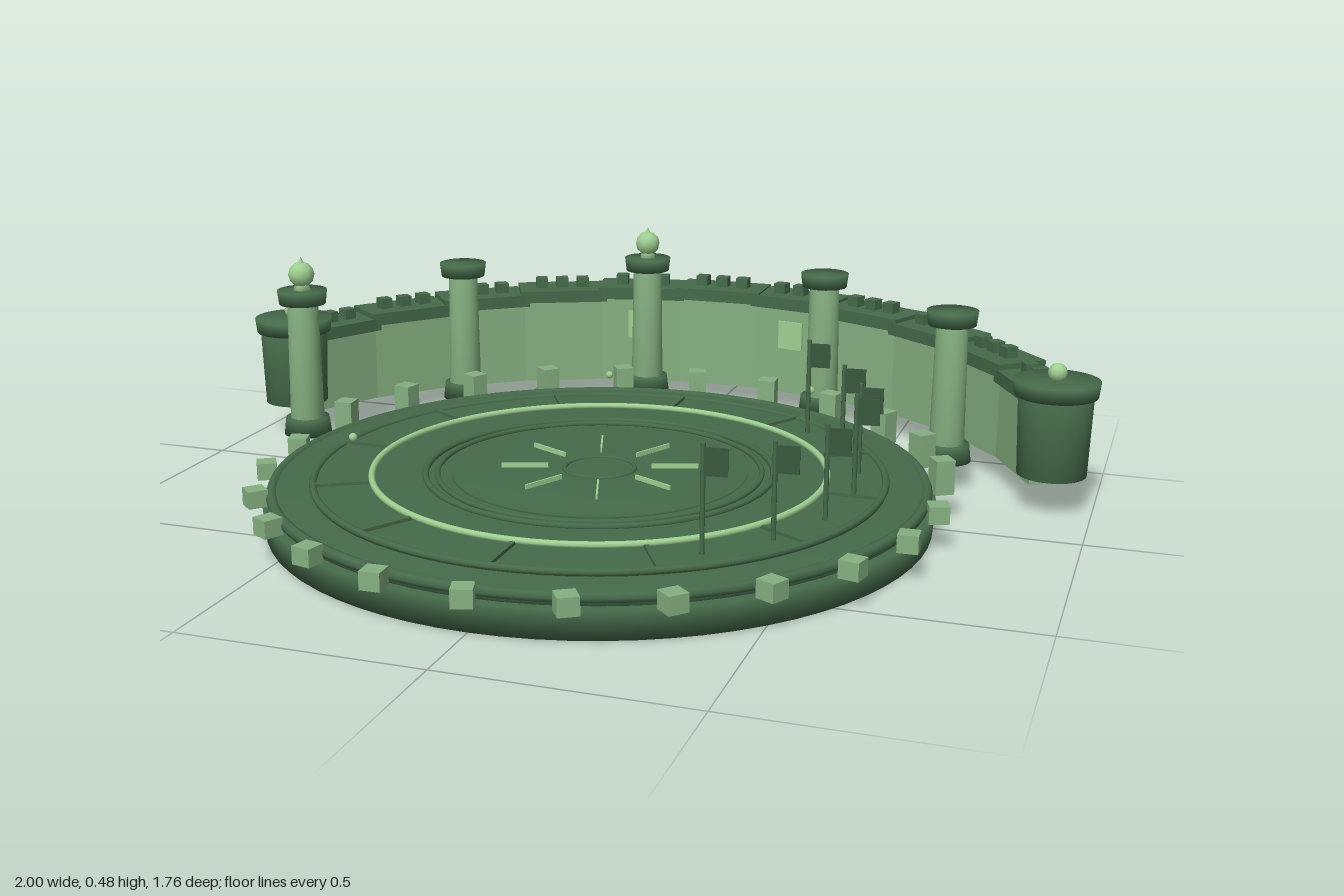
import * as THREE from 'three';
import { mergeVertices } from 'three/addons/utils/BufferGeometryUtils.js';

const mat = (name, color, side = THREE.FrontSide) => {
  const m = new THREE.MeshStandardMaterial({ color, side });
  m.name = name;
  return m;
};

export function createModel() {
  const root = new THREE.Group();
  root.name = 'courtyard';
  const dark = mat('darkStone', 0x466a4a);
  const flagCloth = mat('flagCloth', 0x3a583e, THREE.DoubleSide);
  const stone = mat('paleStone', 0x86b081);
  const light = mat('lightGreen', 0xa0d093);
  const CZ = 0.123; // centre of the round floor

  const add = (parent, name, geo, m, x = 0, y = 0, z = 0, ry = 0) => {
    const mesh = new THREE.Mesh(geo, m);
    mesh.name = name;
    mesh.position.set(x, y, z);
    mesh.rotation.y = ry;
    parent.add(mesh);
    return mesh;
  };
  const group = (name, x = 0, y = 0, z = 0, ry = 0) => {
    const g = new THREE.Group();
    g.name = name;
    g.position.set(x, y, z);
    g.rotation.y = ry;
    root.add(g);
    return g;
  };
  const box = (w, h, d) => new THREE.BoxGeometry(w, h, d);
  // cylinder between two heights, with normals blended over its edges
  const drum = (rTop, rBottom, y0, y1, sides = 32) => {
    const g = new THREE.CylinderGeometry(rTop, rBottom, y1 - y0, sides).translate(0, (y0 + y1) / 2, 0);
    g.deleteAttribute('normal');
    g.deleteAttribute('uv');
    const merged = mergeVertices(g, 1e-5);
    merged.computeVertexNormals();
    return merged;
  };
  const ring = (r, tube) => new THREE.TorusGeometry(r, tube, 8, 80).rotateX(Math.PI / 2);

  // Round stepped floor
  const floor = group('floor', 0, 0, CZ);
  add(floor, 'floorBase', drum(0.71, 0.705, 0, 0.06, 72), dark);
  add(floor, 'floorTier', drum(0.69, 0.69, 0.05, 0.085, 72), dark);
  add(floor, 'outerRim', ring(0.69, 0.012), dark, 0, 0.078);
  add(floor, 'middleTier', drum(0.61, 0.61, 0.08, 0.093, 72), dark);
  add(floor, 'middleRim', ring(0.605, 0.008), dark, 0, 0.092);
  add(floor, 'brightRing', ring(0.483, 0.007), light, 0, 0.1);
  add(floor, 'innerRimOuter', ring(0.37, 0.007), dark, 0, 0.096);
  add(floor, 'innerRimInner', ring(0.345, 0.006), dark, 0, 0.096);
  add(floor, 'innerFloor', drum(0.315, 0.315, 0.085, 0.098, 64), dark);
  add(floor, 'centreRing', ring(0.075, 0.005), dark, 0, 0.098);
  for (let i = 0; i < 12; i++) {
    const a = i * Math.PI / 6;
    add(floor, 'spoke', box(0.12, 0.012, 0.01), dark, 0.545 * Math.cos(a), 0.094, -0.545 * Math.sin(a), a);
  }
  for (let i = 0; i < 8; i++) {
    const a = (i + 0.4) * Math.PI / 4;
    add(floor, 'centreFin', box(0.1, 0.012, 0.004), light, 0.16 * Math.cos(a), 0.102, -0.16 * Math.sin(a), a);
  }

  // Blocks round the edge, taller towards the back
  for (let i = 0; i < 24; i++) {
    const a = i * Math.PI / 12;
    const h = 0.723 * Math.sin(a) > 0.16 ? 0.075 : 0.037;
    add(floor, 'edgeBlock', box(0.042, h, 0.042), stone,
      0.723 * Math.cos(a), 0.06 + h / 2, -0.723 * Math.sin(a), a + 0.3);
  }

  // Curved rear wall in eleven straight lengths
  const R = 0.975, STEP = THREE.MathUtils.degToRad(12.44);
  for (let i = -5; i <= 5; i++) {
    const a = i * STEP;
    const top = 0.305 - 0.045 * (Math.abs(i) / 5) ** 1.5;
    const wall = group('wallSection', R * Math.sin(a), 0, 0.15 - R * Math.cos(a), -a);
    const h = top - 0.03 - 0.055;
    add(wall, 'wallBody', box(0.205, h, 0.1), stone, 0, 0.055 + h / 2, 0);
    add(wall, 'wallCoping', box(0.222, 0.03, 0.122), dark, 0, top - 0.015, 0);
    for (const x of [-0.053, 0, 0.053])
      add(wall, 'merlon', box(0.03, 0.025, 0.03), dark, x, top + 0.0125, 0);
    if (Math.abs(i) === 1)
      add(wall, 'wallPanel', box(0.065, 0.07, 0.006), light, 0, 0.205, 0.053);
  }

  // Stout tower at each end of the wall
  for (const s of [-1, 1]) {
    const tower = group(s > 0 ? 'leftEndTower' : 'rightEndTower', s * 0.91, 0, -0.21);
    add(tower, 'towerBody', drum(0.08, 0.074, 0.08, 0.26), dark);
    add(tower, 'towerCap', drum(0.092, 0.088, 0.255, 0.288), dark);
    add(tower, 'towerLamp', new THREE.IcosahedronGeometry(0.021, 1), light, 0, 0.304);
  }

  // Free-standing columns, two of them carrying lamps
  const columns = [[-0.78, -0.025, true], [-0.56, -0.44], [-0.15, -0.655, true], [0.315, -0.605], [0.67, -0.3]];
  for (const [x, z, lamp] of columns) {
    const column = group('column', x, 0, z);
    add(column, 'columnBase', drum(0.05, 0.055, 0.06, 0.1, 24), dark);
    add(column, 'columnShaft', drum(0.035, 0.039, 0.1, 0.372, 24), stone);
    add(column, 'columnCap', drum(0.057, 0.053, 0.37, 0.402, 24), dark);
    if (!lamp) continue;
    add(column, 'lampNeck', drum(0.014, 0.02, 0.4, 0.42, 12), light);
    add(column, 'columnLamp', new THREE.IcosahedronGeometry(0.03, 1), light, 0, 0.438);
    add(column, 'lampTip', new THREE.ConeGeometry(0.01, 0.02, 8), light, 0, 0.469);
  }

  // Flags along the left side
  for (let i = -3; i <= 3; i++) {
    const a = THREE.MathUtils.degToRad(i * 16.7);
    const top = i % 3 === 0 ? 0.31 : 0.29;
    const flag = group('flag', 0.55 * Math.cos(a), 0, CZ + 0.55 * Math.sin(a));
    add(flag, 'flagPole', new THREE.CylinderGeometry(0.005, 0.005, top - 0.09, 8), dark, 0, (top + 0.09) / 2);
    add(flag, 'flagCloth', box(0.045, 0.055, 0.004), flagCloth, 0.025, top - 0.035, 0, 0.1);
  }

  // Small floating lights
  for (const [x, y, z] of [[-0.45, 0.195, 0.38], [-0.155, 0.165, -0.38], [0.315, 0.14, -0.49]])
    add(root, 'floatingLight', new THREE.IcosahedronGeometry(0.009, 1), light, x, y, z);

  return root;
}
